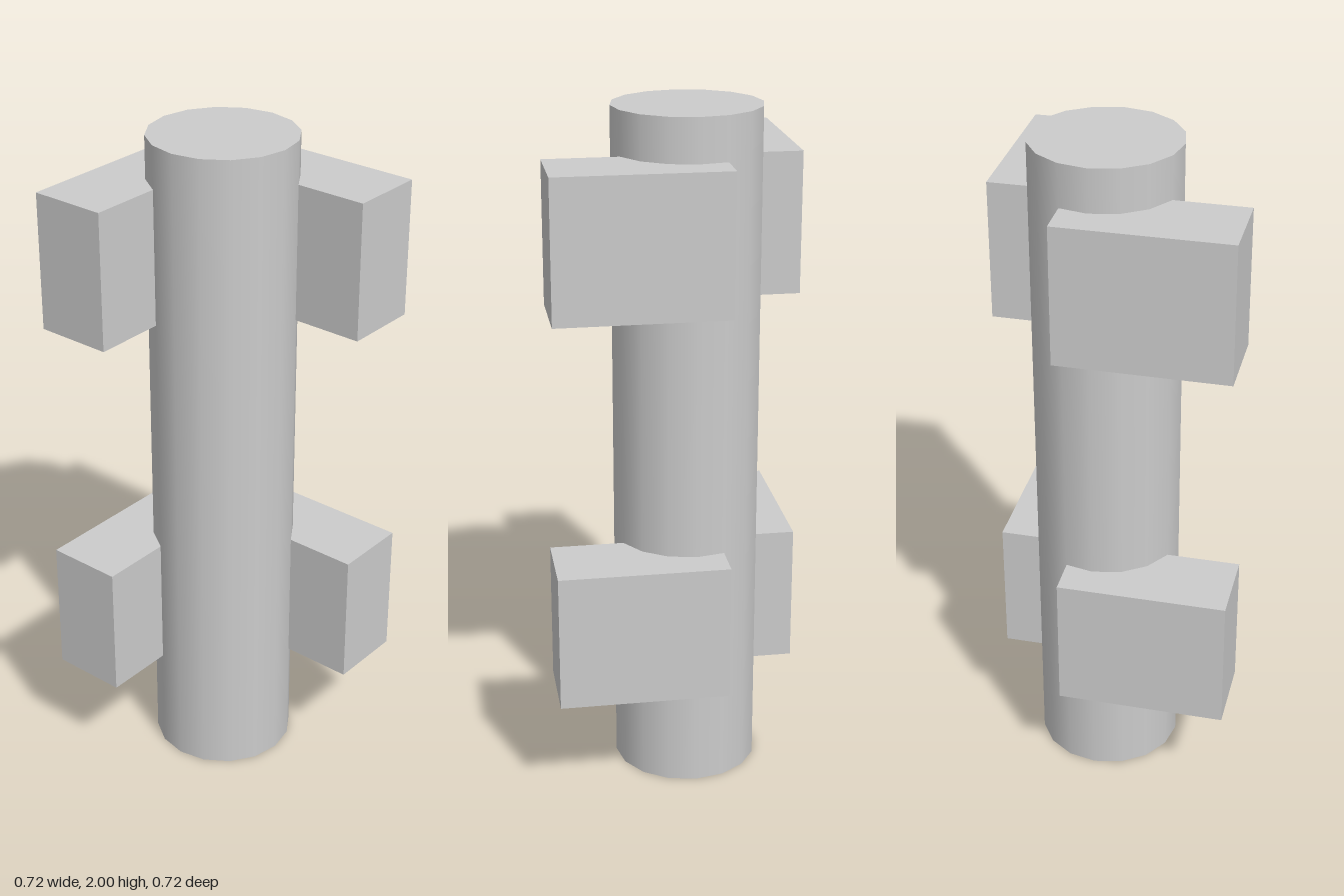
import * as THREE from 'three';

export function createModel() {
  const group = new THREE.Group();
  const material = new THREE.MeshStandardMaterial({ color: 0xcccccc });

  // Upright round post, 16 sides, smooth shaded
  const post = new THREE.Mesh(new THREE.CylinderGeometry(0.214, 0.214, 2, 16), material);
  post.name = 'post';
  post.position.set(-0.051, 1, -0.051);
  group.add(post);

  // Rail stubs: at each level one runs along x at the back, one along z at the side
  const length = 0.493, height = 0.405, thickness = 0.229;
  const along = 0.115, offset = -0.2475;
  const addStub = (name, sx, sz, x, y, z) => {
    const stub = new THREE.Mesh(new THREE.BoxGeometry(sx, height, sz), material);
    stub.name = name;
    stub.position.set(x, y, z);
    group.add(stub);
  };
  for (const [level, y] of [['lower', 0.532], ['upper', 1.672]]) {
    addStub(level + 'BackRail', length, thickness, along, y, offset);
    addStub(level + 'SideRail', thickness, length, offset, y, along);
  }
  return group;
}
